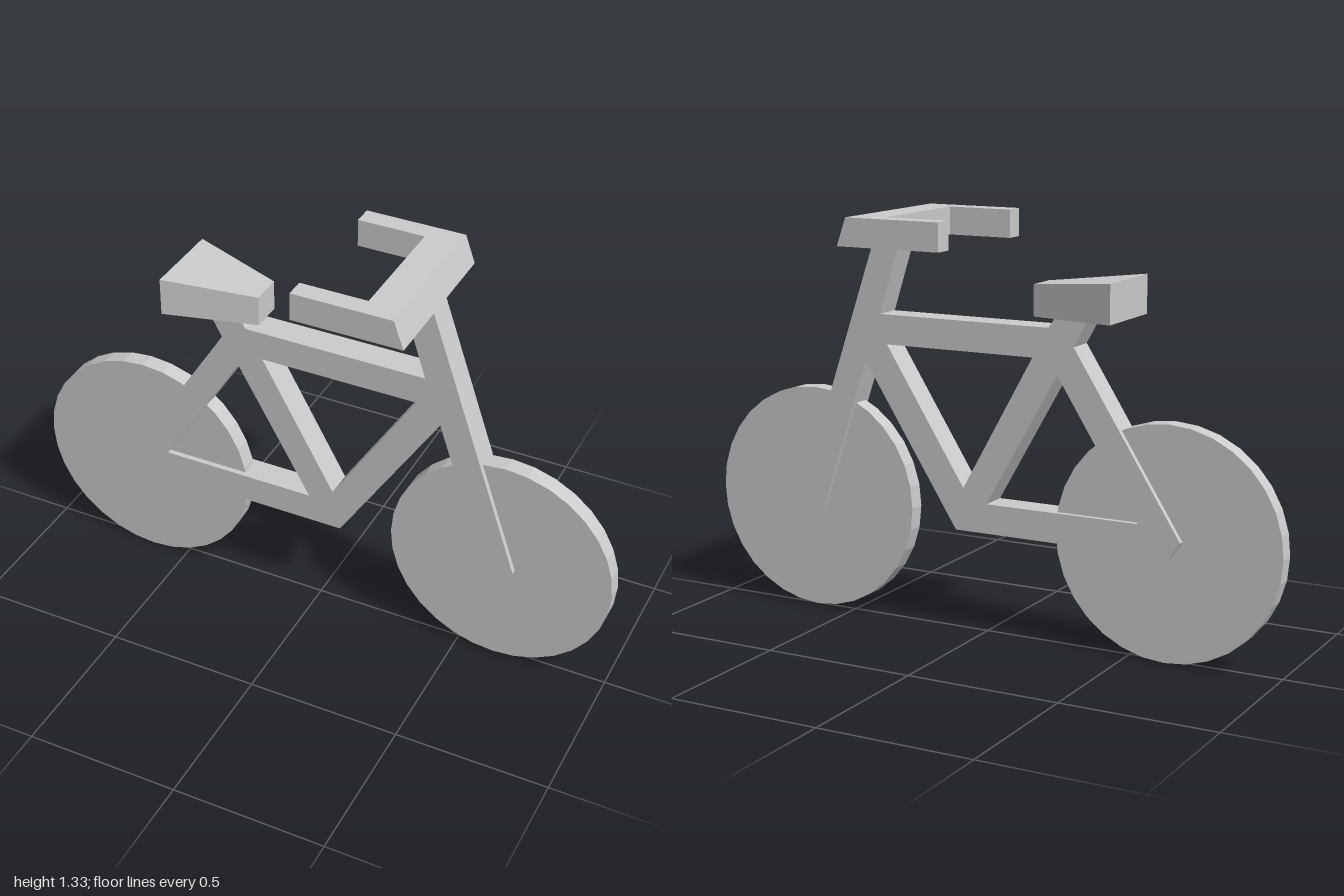
import * as THREE from 'three';

const material = new THREE.MeshStandardMaterial({ color: 0xcccccc, flatShading: true });

function addMesh(parent, name, geometry) {
  geometry.computeVertexNormals();
  const mesh = new THREE.Mesh(geometry, material);
  mesh.name = name;
  parent.add(mesh);
  return mesh;
}

const toPoints = (pairs) => pairs.map(([x, y]) => new THREE.Vector2(x, y));

// Applies rule(v) to every vertex of a geometry
function moveVertices(geometry, rule) {
  const pos = geometry.attributes.position;
  const v = new THREE.Vector3();
  for (let i = 0; i < pos.count; i++) {
    v.fromBufferAttribute(pos, i);
    rule(v);
    pos.setXYZ(i, v.x, v.y, v.z);
  }
  return geometry;
}

export function createModel() {
  const bike = new THREE.Group();
  bike.name = 'bicycle';

  // Frame, seat post and fork: one flat plate with two triangular openings
  const outline = new THREE.Shape(toPoints([
    [-0.68, 0.39], [-0.645, 0.337], [0.09, 0.337], [0.42, 0.855],
    [0.593, 0.342], [0.683, 0.369], [0.385, 1.246], [0.29, 1.246],
    [0.365, 1.01], [-0.235, 1.01], [-0.26, 1.048], [-0.37, 1.048], [-0.32, 0.957],
  ]));
  const openings = [
    [[-0.54, 0.433], [-0.265, 0.866], [-0.02, 0.433]],
    [[-0.18, 0.914], [0.34, 0.914], [0.063, 0.476]],
  ];
  for (const o of openings) outline.holes.push(new THREE.Path(toPoints(o)));
  const frame = new THREE.ExtrudeGeometry(outline, { depth: 0.092, bevelEnabled: false });
  addMesh(bike, 'frame', frame.translate(0, 0, -0.046));

  // Solid disc wheels
  const wheels = [['rearWheel', -0.628, 0.374, 0.372], ['frontWheel', 0.63, 0.379, 0.369]];
  for (const [name, x, y, radius] of wheels) {
    const disc = new THREE.CylinderGeometry(radius, radius, 0.057, 32).rotateX(Math.PI / 2);
    addMesh(bike, name, disc).position.set(x, y, 0);
  }

  // U-shaped handlebar, its front face leaning with the fork
  const bottom = 1.246, height = 0.09, front = 0.385, lean = 0.032;
  const bar = new THREE.Shape(toPoints([
    [0.027, -0.26], [front, -0.26], [front, 0.26], [0.027, 0.26],
    [0.027, 0.197], [0.246, 0.197], [0.246, -0.197], [0.027, -0.197],
  ]));
  const handlebar = new THREE.ExtrudeGeometry(bar, { depth: height, bevelEnabled: false });
  handlebar.rotateX(-Math.PI / 2).translate(0, bottom, 0);
  moveVertices(handlebar, (v) => {
    if (v.x > front - 0.01) v.x -= lean * (v.y - bottom) / height;
  });
  addMesh(bike, 'handlebar', handlebar);

  // Wedge saddle: wide and tall at the rear, narrow at the nose
  const saddle = moveVertices(new THREE.BoxGeometry(1, 1, 1), (v) => {
    const nose = v.x > 0;
    v.z = Math.sign(v.z) * (nose ? 0.052 : 0.134);
    v.y = v.y > 0 ? (nose ? 1.141 : 1.17) : (nose ? 1.042 : 1.047);
    v.x = nose ? -0.186 : -0.48;
  });
  addMesh(bike, 'saddle', saddle);

  return bike;
}
